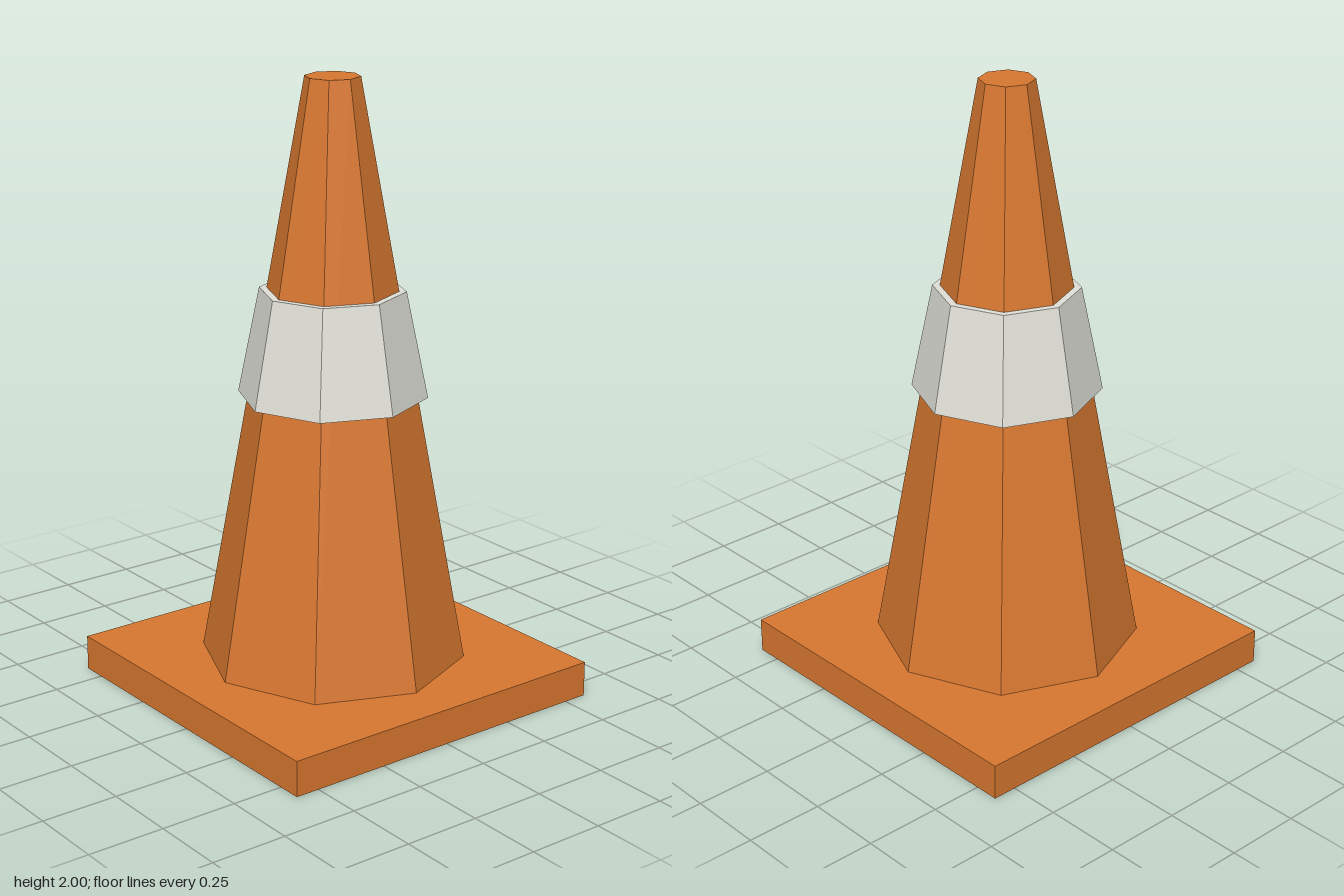
import * as THREE from 'three';

export function createModel() {
  const orange = new THREE.MeshStandardMaterial({ name: 'orange', color: 0xd97830 });
  const white = new THREE.MeshStandardMaterial({ name: 'reflectiveWhite', color: 0xe0e0d8 });
  const model = new THREE.Group();
  model.name = 'trafficCone';

  const add = (name, geometry, material, y) => {
    const mesh = new THREE.Mesh(geometry, material);
    mesh.name = name;
    mesh.position.y = y;
    model.add(mesh);
  };

  // Eight-sided frustum between two heights, with crisp facets
  const frustum = (name, rTop, rBottom, y0, y1, material) => {
    const geometry = new THREE.CylinderGeometry(rTop, rBottom, y1 - y0, 8).toNonIndexed();
    geometry.computeVertexNormals();
    add(name, geometry, material, (y0 + y1) / 2);
  };

  // Square foot
  add('base', new THREE.BoxGeometry(1.16, 0.116, 1.16), orange, 0.058);
  // Tapered body
  frustum('coneBody', 0.087, 0.429, 0.116, 2, orange);
  // Raised band around the body
  frustum('reflectiveBand', 0.232, 0.302, 0.99, 1.332, white);

  return model;
}
